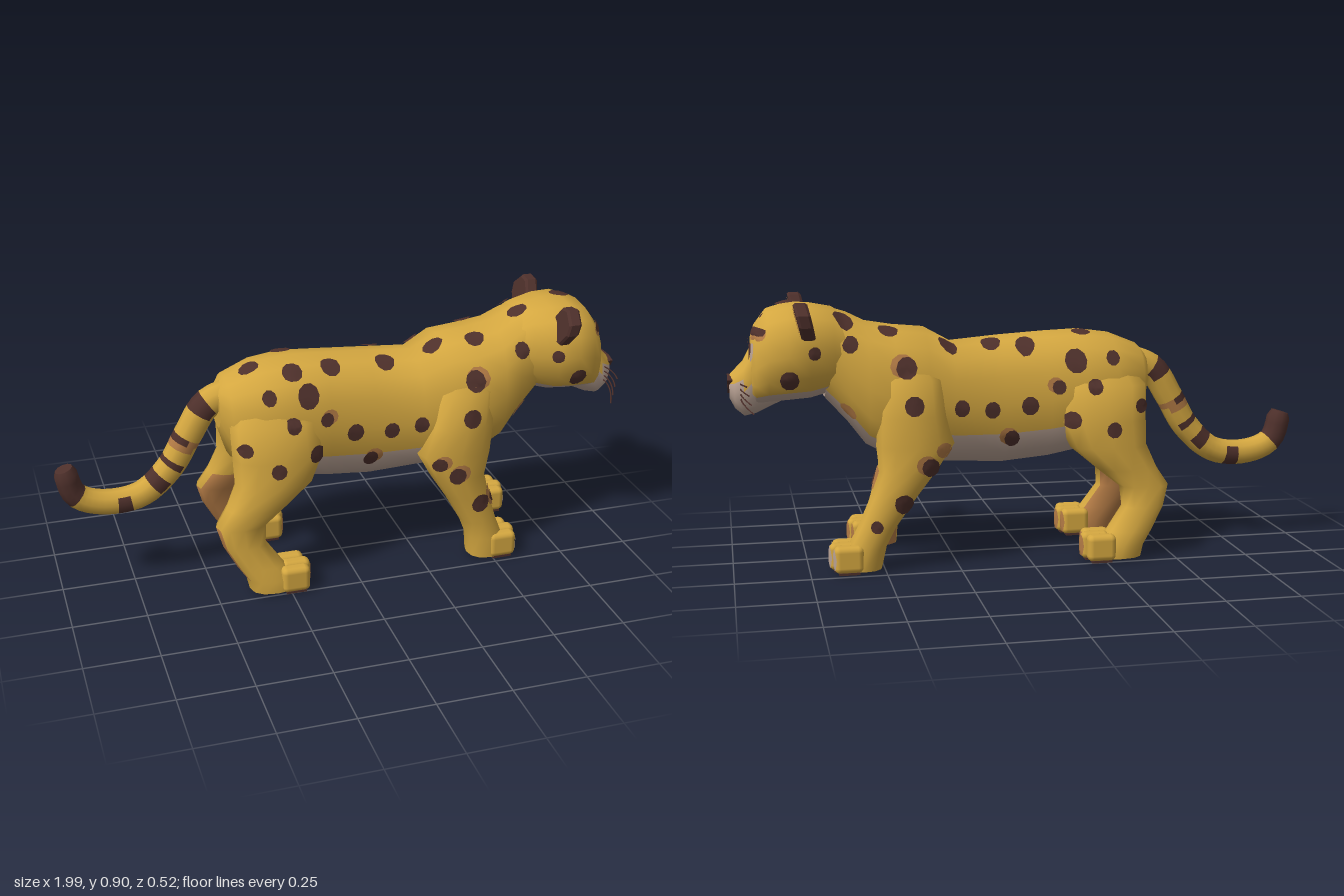
import * as THREE from 'three';
import { mergeGeometries } from 'three/addons/utils/BufferGeometryUtils.js';
import { RoundedBoxGeometry } from 'three/addons/geometries/RoundedBoxGeometry.js';

const paint = (name, color) => Object.assign(new THREE.MeshStandardMaterial({ color }), { name });

export function createModel() {
  const root = new THREE.Group();
  root.name = 'spottedCat';
  const gold = paint('gold', 0xd4a740), dark = paint('darkBrown', 0x4e302b);
  const cream = paint('cream', 0xb8a193), tan = paint('tan', 0xb27a45);
  const mats = [gold, dark, cream, tan];
  const GOLD = 0, DARK = 1, CREAM = 2, TAN = 3;

  function add(name, geometry, material) {
    const m = new THREE.Mesh(geometry, material);
    m.name = name;
    root.add(m);
    return m;
  }

  // Skin over rings [x, y, z, half width in z, half size in the xy plane, angle of that second axis].
  // rule(ring, sin, cos) picks the colour; ring -1 and ring = last are the end caps.
  function loft(name, rings, rule, n = 16, e = 0.85) {
    const pos = [], buckets = mats.map(() => []);
    const sp = v => Math.sign(v) * Math.pow(Math.abs(v), e);
    const pushRing = ([x, y, z, w, r, a]) => {
      for (let j = 0; j < n; j++) {
        const t = j / n * Math.PI * 2, c = sp(Math.cos(t)), s = sp(Math.sin(t)) * r;
        pos.push(x + Math.cos(a) * s, y + Math.sin(a) * s, z + w * c);
      }
    };
    rings.forEach(pushRing);
    const last = rings.length - 1;
    for (let i = 0; i < last; i++) for (let j = 0; j < n; j++) {
      const k = (j + 1) % n, t = (j + 0.5) / n * Math.PI * 2;
      const a = i * n + j, b = i * n + k, c = b + n, d = a + n;
      buckets[rule(i, Math.sin(t), Math.cos(t))].push(a, d, b, b, d, c);
    }
    for (const i of [0, last]) {
      const base = pos.length / 3;
      pushRing(rings[i]);
      pos.push(...rings[i].slice(0, 3));
      for (let j = 0; j < n; j++) {
        const p = base + j, q = base + (j + 1) % n, t = (j + 0.5) / n * Math.PI * 2;
        buckets[rule(i || -1, Math.sin(t), Math.cos(t))].push(base + n, ...(i ? [q, p] : [p, q]));
      }
    }
    const g = new THREE.BufferGeometry();
    g.setAttribute('position', new THREE.Float32BufferAttribute(pos, 3));
    g.setIndex(buckets.flat());
    let start = 0;
    buckets.forEach((b, m) => { if (b.length) g.addGroup(start, b.length, m); start += b.length; });
    g.computeVertexNormals();
    return add(name, g, mats);
  }
  const up = Math.PI / 2;
  const along = ([x, top, bottom, w]) => [x, (top + bottom) / 2, 0, w, (top - bottom) / 2, up];

  // Torso with pale belly and a narrower pale chest
  const torso = [
    [-0.44, 0.69, 0.55, 0.07], [-0.41, 0.725, 0.45, 0.14], [-0.31, 0.765, 0.39, 0.175],
    [-0.2, 0.78, 0.36, 0.185], [-0.08, 0.775, 0.335, 0.172], [0.08, 0.765, 0.32, 0.165],
    [0.25, 0.75, 0.33, 0.175], [0.34, 0.8, 0.335, 0.198], [0.45, 0.81, 0.35, 0.205],
    [0.54, 0.825, 0.4, 0.19], [0.6, 0.855, 0.48, 0.17], [0.68, 0.88, 0.57, 0.15]].map(along);
  const body = loft('torso', torso, (i, s) => (i >= 3 && s < (i < 8 ? -0.5 : -0.7) ? CREAM : GOLD));

  // Head and muzzle
  const head = loft('head', [
    [0.56, 0.82, 0.62, 0.13], [0.65, 0.875, 0.59, 0.165], [0.73, 0.89, 0.57, 0.2],
    [0.8, 0.892, 0.565, 0.207], [0.865, 0.872, 0.56, 0.185], [0.905, 0.82, 0.555, 0.15],
    [0.918, 0.78, 0.57, 0.115]].map(along), (i, s) => (s < -0.8 ? CREAM : GOLD));
  const muzzle = loft('muzzle', [
    [0.82, 0.8, 0.56, 0.1], [0.905, 0.775, 0.52, 0.092], [0.945, 0.7, 0.513, 0.094],
    [0.975, 0.668, 0.54, 0.08], [0.992, 0.65, 0.575, 0.055]].map(along),
    (i, s) => (i < 4 && s > (i < 2 ? 0 : 0.3) ? GOLD : CREAM));

  // Nose: shallow wedge on the tip of the muzzle
  const noseShape = new THREE.Shape([[-0.062, 0.642], [-0.05, 0.622], [-0.02, 0.594], [0.02, 0.594],
    [0.05, 0.622], [0.062, 0.642], [0.03, 0.652], [-0.03, 0.652]].map(p => new THREE.Vector2(...p)));
  add('nose', new THREE.ExtrudeGeometry(noseShape, { depth: 0.018, bevelEnabled: false })
    .rotateY(up).translate(0.98, 0, 0), dark);

  // Tail: tapered sweep with broken bands and a dark tip
  const tailPath = new THREE.CatmullRomCurve3([[-0.38, 0.67], [-0.47, 0.635], [-0.54, 0.53], [-0.605, 0.42],
    [-0.71, 0.33], [-0.845, 0.32], [-0.93, 0.36], [-0.962, 0.46]].map(([x, y]) => new THREE.Vector3(x, y, 0)));
  const T = 36;
  const tailRings = Array.from({ length: T + 1 }, (_, i) => {
    const p = tailPath.getPointAt(i / T), t = tailPath.getTangentAt(i / T);
    const r = (0.052 - 0.011 * i / T) * (i === T ? 0.75 : 1);
    return [p.x, p.y, 0, r, r, Math.atan2(t.y, t.x) + up];
  });
  loft('tail', tailRings, (i, s) => {
    if (i >= 31) return DARK;
    if ([4, 5, 14, 17, 18].includes(i) && s < 0.4) return DARK;
    if (i === 10) return s < 0 ? DARK : TAN;
    if (i === 11 && s < 0.4) return TAN;
    return [23, 24].includes(i) && s > -0.6 ? DARK : GOLD;
  }, 10, 1);

  // Legs: rows are [x, y, z, half width, half depth]
  const hindRows = [[-0.27, 0.69, 0.07, 0.03, 0.08], [-0.265, 0.6, 0.115, 0.085, 0.155], [-0.26, 0.48, 0.13, 0.09, 0.157],
    [-0.28, 0.39, 0.145, 0.082, 0.135], [-0.345, 0.31, 0.155, 0.068, 0.105], [-0.402, 0.25, 0.163, 0.058, 0.087],
    [-0.395, 0.18, 0.175, 0.052, 0.074], [-0.345, 0.1, 0.185, 0.057, 0.08], [-0.31, 0.055, 0.19, 0.066, 0.085],
    [-0.3, 0.012, 0.19, 0.066, 0.085]];
  const foreRows = [[0.41, 0.73, 0.09, 0.04, 0.06], [0.4, 0.64, 0.13, 0.083, 0.11], [0.385, 0.52, 0.145, 0.085, 0.118],
    [0.362, 0.42, 0.152, 0.083, 0.132], [0.375, 0.335, 0.158, 0.076, 0.098], [0.412, 0.25, 0.16, 0.07, 0.08],
    [0.455, 0.15, 0.162, 0.064, 0.066], [0.48, 0.085, 0.165, 0.066, 0.066], [0.49, 0.01, 0.165, 0.066, 0.07]];
  const legs = [], toes = [];
  // tanRows: first and last ring of the tan inner side; toeColours run from inner to outer toe
  function makeLeg(name, rows, s, reach, toeX, hind, tanRows, toeColours) {
    const rings = rows.map(([x, y, z, w, r]) => [x + reach * Math.max(0, 0.6 - y) / 0.6, y, z * s, w, r, 0]);
    const last = rings.length - 1;
    legs.push(loft(name, rings, (i, sn, cs) => {
      if (i === last) return DARK;
      if (hind && i >= 5 && i <= 7 && sn < -0.8) return TAN;
      return cs * s < -0.6 && i >= tanRows[0] && i <= tanRows[1] ? TAN : GOLD;
    }, 12));
    const zc = rows[last][2];
    toeColours.forEach((colour, j) => {
      const k = j - 1, x = toeX + reach - Math.abs(k) * 0.012, z = (zc + k * 0.046) * s;
      const toe = add(name + 'Toe', new RoundedBoxGeometry(0.1, 0.092, 0.052, 2, 0.02).translate(x, 0.053, z), gold);
      add(name + 'Pad', new THREE.BoxGeometry(0.07, 0.008, 0.036).translate(x, 0.006, z), dark);
      toes.push([toe, x, z, colour]);
    });
  }
  makeLeg('leftHindLeg', hindRows, 1, 0, -0.222, true, [5, 8], [TAN, TAN, GOLD]);
  makeLeg('rightHindLeg', hindRows, -1, 0, -0.222, true, [4, 6], [TAN, TAN, GOLD]);
  makeLeg('leftFrontLeg', foreRows, 1, 0, 0.545, false, [4, 8], [TAN, TAN, CREAM]);
  makeLeg('rightFrontLeg', foreRows, -1, 0.09, 0.545, false, [4, 4], [CREAM, CREAM, CREAM]);

  // Ears, leaning forward at the top, and whiskers
  const earOutline = [[0.12, 0.85], [0.155, 0.895], [0.195, 0.9], [0.238, 0.865], [0.235, 0.83], [0.2, 0.79], [0.16, 0.79]];
  const lean = new THREE.Matrix4().set(1, 0.22, 0, -0.22 * 0.84, 0, 1, 0, 0, 0, 0, 1, 0, 0, 0, 0, 1);
  for (const s of [1, -1]) {
    const outline = k => new THREE.Shape(earOutline.map(([z, y]) =>
      new THREE.Vector2(-s * (0.185 + (z - 0.185) * k), 0.84 + (y - 0.84) * k)));
    add('ear', new THREE.ExtrudeGeometry(outline(1), { depth: 0.03, bevelSize: 0.006, bevelThickness: 0.008, bevelSegments: 1 })
      .rotateY(up).translate(0.733, 0, 0).applyMatrix4(lean), dark);
    add('innerEar', new THREE.ShapeGeometry(outline(0.86)).rotateY(up).translate(0.774, 0, 0).applyMatrix4(lean), tan);
    for (let k = 0; k < 4; k++) {
      const y = 0.63 - k * 0.016, curve = new THREE.QuadraticBezierCurve3(
        new THREE.Vector3(0.955, y, s * 0.075), new THREE.Vector3(0.96, y + 0.012 - k * 0.004, s * 0.15),
        new THREE.Vector3(0.935 - k * 0.006, 0.642 - k * 0.03, s * 0.225));
      add('whisker', new THREE.TubeGeometry(curve, 6, 0.0028, 4), dark);
    }
  }

  // Painted patches: small ellipses projected along -w onto the given parts
  root.updateMatrixWorld(true);
  const caster = new THREE.Raycaster(), patches = mats.map(() => []);
  function patch(targets, colour, centre, w, ru, rv, lift = 0.005, e = 1) {
    const u = Math.abs(w.y) > 0.9 ? new THREE.Vector3(1, 0, 0) : new THREE.Vector3(0, 1, 0).cross(w).normalize();
    const v = w.clone().cross(u), dir = w.clone().negate(), pos = [], index = [], n = 10;
    const sp = q => Math.sign(q) * Math.pow(Math.abs(q), e);
    let depth = null;
    const drop = (a, b) => {
      const o = centre.clone().addScaledVector(u, a).addScaledVector(v, b).addScaledVector(w, 1.5);
      caster.set(o, dir);
      const hit = caster.intersectObjects(targets, false)[0];
      if (!hit) return false;
      depth ??= hit.distance;
      if (Math.abs(hit.distance - depth) > 0.06) return false;
      const p = hit.point.addScaledVector(hit.face.normal, lift);
      pos.push(p.x, p.y, p.z);
      return true;
    };
    if (!drop(0, 0)) return;
    for (const k of [0.5, 1]) for (let j = 0; j < n; j++) {
      const t = j / n * Math.PI * 2;
      if (!drop(ru * k * sp(Math.cos(t)), rv * k * sp(Math.sin(t)))) return;
    }
    for (let j = 0; j < n; j++) {
      const a = 1 + j, b = 1 + (j + 1) % n;
      index.push(0, a, b, a, a + n, b + n, a, b + n, b);
    }
    const g = new THREE.BufferGeometry();
    g.setAttribute('position', new THREE.Float32BufferAttribute(pos, 3));
    g.setIndex(index);
    g.computeVertexNormals();
    patches[colour].push(g);
  }
  const V = (x, y, z) => new THREE.Vector3(x, y, z);
  const coat = [body, head, ...legs], X = V(1, 0, 0);

  // Flank spots [x, y, radius] on both sides
  const flank = [[-0.29, 0.69, 0.024], [-0.16, 0.685, 0.038], [0.42, 0.68, 0.035], [0.6, 0.76, 0.026], [0.8, 0.655, 0.03],
    [-0.22, 0.6, 0.026], [-0.1, 0.6, 0.024], [-0.28, 0.455, 0.026], [-0.145, 0.49, 0.028], [0, 0.54, 0.03],
    [0.06, 0.43, 0.027], [0.13, 0.53, 0.027], [0.235, 0.54, 0.027], [0.4, 0.56, 0.032], [0.35, 0.355, 0.03],
    [0.44, 0.235, 0.032], [-0.38, 0.53, 0.024], [0.72, 0.74, 0.02], [0.29, 0.4, 0.024]];
  flank.forEach(([x, y, r], i) => {
    for (const s of [1, -1]) {
      patch(coat, DARK, V(x, y, 0), V(0, 0, s), r, r * 1.05, 0.007);
      if (i % 4 === 2) patch(coat, TAN, V(x + 0.012, y + 0.008, 0), V(0, 0, s), r * 1.2, r * 1.1, 0.004);
    }
  });
  patch(legs, DARK, V(0.53, 0.16, 0), V(0, 0, -1), 0.02, 0.022, 0.007);

  // Back spots [x, z]
  const back = [[-0.165, -0.155], [-0.2, -0.055], [-0.2, 0.1], [-0.065, 0.085], [0.005, -0.1], [0.12, -0.075], [0.13, 0.075],
    [0.27, -0.09], [0.31, 0.06], [0.47, -0.09], [0.45, 0.085], [0.62, -0.1], [0.625, 0.04], [0.8, -0.01], [-0.33, 0.03]];
  for (const [x, z] of back) patch(coat, DARK, V(x, 0, z), V(0, 1, 0), 0.034, 0.032, 0.007);

  // Eyes, brows, forehead marks, chest edge, toe fronts and the patch on the left foreleg
  const face = [head, muzzle];
  for (const s of [1, -1]) {
    patch(face, CREAM, V(0, 0.738, s * 0.104), X, 0.024, 0.031, 0.004);
    patch(face, DARK, V(0, 0.738, s * 0.087), X, 0.026, 0.031, 0.008);
    patch(face, TAN, V(0, 0.793, s * 0.105), X, 0.054, 0.017, 0.004, 0.5);
    patch(face, DARK, V(0, 0.803, s * 0.105), X, 0.052, 0.013, 0.008, 0.5);
    patch(face, DARK, V(0, 0.85, s * 0.045), X, 0.012, 0.008);
    patch([body], TAN, V(0, 0.54, s * 0.13), X, 0.016, 0.028);
  }
  patch(legs, TAN, V(0, 0.245, 0.17), X, 0.048, 0.045, 0.004, 0.8);
  patch(legs, DARK, V(0, 0.24, 0.178), X, 0.03, 0.026, 0.008);
  for (const [toe, x, z, colour] of toes) {
    if (colour !== GOLD) patch([toe], colour, V(x, 0.053, z), X, 0.022, 0.036, 0.003, 0.6);
  }
  patches.forEach((list, i) => {
    if (list.length) add(mats[i].name + 'Markings', mergeGeometries(list), mats[i]);
  });
  return root;
}
